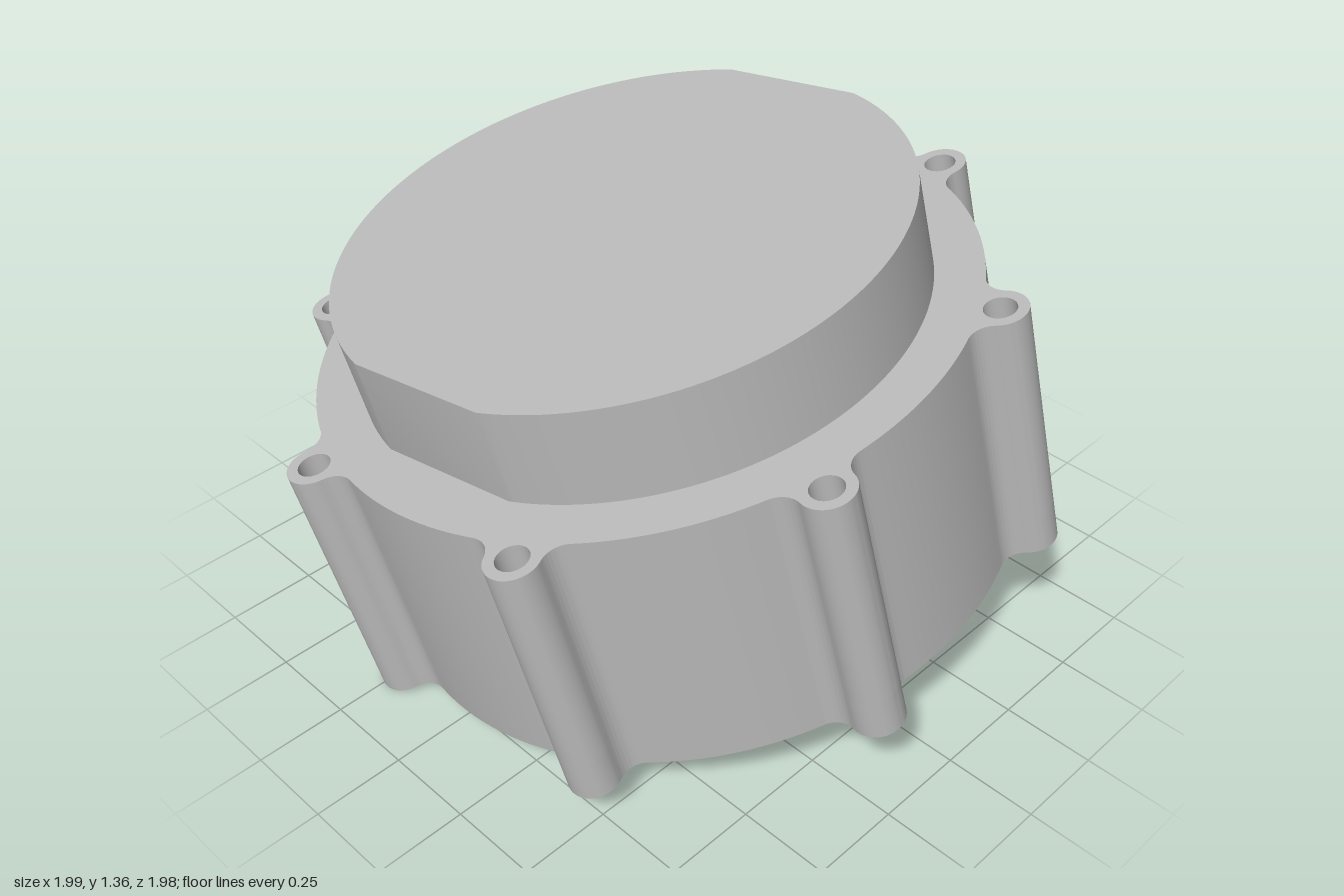
import * as THREE from 'three';
import { toCreasedNormals } from 'three/addons/utils/BufferGeometryUtils.js';

const RAD = Math.PI / 180;
const BODY_R = 0.875, LUG_DIST = 0.922, LUG_R = 0.07, FILLET = 0.06;
const HEIGHT = 0.744, PLATE = 0.12, BOSS = 0.045, BUMP = 265.5 * RAD;
const lugAngles = Array.from({ length: 8 }, (_, i) => (18 + 45 * i) * RAD);
const polar = (r, a) => new THREE.Vector2(r * Math.cos(a), r * Math.sin(a));

const circle = (Type, r, c = new THREE.Vector2()) => new Type().absarc(c.x, c.y, r, 0, Math.PI * 2, false);

// Housing outline: round body, filleted screw lugs and one wide bump
function housingShape() {
  const s = new THREE.Shape();
  const fd = BODY_R + FILLET, ld = LUG_R + FILLET;
  const delta = Math.acos((fd * fd + LUG_DIST * LUG_DIST - ld * ld) / (2 * fd * LUG_DIST));
  lugAngles.forEach((t, i) => {
    const lug = polar(LUG_DIST, t), a = polar(fd, t - delta), b = polar(fd, t + delta);
    const toA = Math.atan2(a.y - lug.y, a.x - lug.x), toB = Math.atan2(b.y - lug.y, b.x - lug.x);
    s.absarc(a.x, a.y, FILLET, t - delta + Math.PI, toA + Math.PI, true);
    s.absarc(lug.x, lug.y, LUG_R, toA, toB, false);
    s.absarc(b.x, b.y, FILLET, toB + Math.PI, t + delta + Math.PI, true);
    if (i === 5) {
      // bump between two lugs, with rounded shoulders
      for (let k = -26; k <= 26; k++) {
        const off = k * 0.5;
        const w = THREE.MathUtils.smoothstep(13 - Math.abs(off), 0, 5);
        const p = polar(BODY_R + 0.067 * w, BUMP + off * RAD);
        s.lineTo(p.x, p.y);
      }
    } else {
      s.absarc(0, 0, BODY_R, t + delta, t + 45 * RAD - delta, false);
    }
  });
  s.holes = lugAngles.map((t) => circle(THREE.Path, 0.042, polar(LUG_DIST, t)));
  return s;
}

// Ring of nine round holes and three curved slots
function boltPattern() {
  return Array.from({ length: 12 }, (_, i) => {
    const a = BUMP + i * 30 * RAD;
    if (i % 4) return circle(THREE.Path, 0.036, polar(0.28, a));
    const w = 10 * RAD;
    return new THREE.Path()
      .absarc(0, 0, 0.31, a - w, a + w, false)
      .absarc(0, 0, 0.25, a + w, a - w, true)
      .closePath();
  });
}

// Extrudes a plan shape upward from y0 to y1
function slab(name, shape, y0, y1, material, segments) {
  let g = new THREE.ExtrudeGeometry(shape, { depth: y1 - y0, bevelEnabled: false, curveSegments: segments });
  g.rotateX(Math.PI / 2).translate(0, y1, 0);
  g = toCreasedNormals(g, 35 * RAD);
  const m = new THREE.Mesh(g, material);
  m.name = name;
  return m;
}

export function createModel() {
  const metal = new THREE.MeshStandardMaterial({ color: 0xbcbcbc });
  metal.name = 'light grey metal';
  const housing = new THREE.Group();
  housing.name = 'tiltedHousing';

  // Main body, with a thinner lower plate that takes the blind holes
  const lower = housingShape();
  lower.holes.push(...boltPattern());
  housing.add(slab('lowerBody', lower, 0, PLATE, metal, 12));
  housing.add(slab('upperBody', housingShape(), PLATE, HEIGHT, metal, 12));

  // Top cap with two opposite flats
  const capR = 0.748, turn = -4.5 * RAD, half = Math.acos(0.718 / capR);
  const cap = new THREE.Shape();
  for (const a of [turn, turn + Math.PI]) cap.absarc(0, 0, capR, a + half, a + Math.PI - half, false);
  cap.closePath();
  housing.add(slab('topCap', cap, HEIGHT, HEIGHT + 0.265, metal, 48));

  // Raised ring underneath
  const ring = circle(THREE.Shape, 0.66);
  ring.holes.push(circle(THREE.Path, 0.56));
  housing.add(slab('bottomRing', ring, -BOSS, 0, metal, 72));

  // Raised flange inside the ring, with centre bore and hole pattern
  const flange = circle(THREE.Shape, 0.45);
  flange.holes.push(circle(THREE.Path, 0.19), ...boltPattern());
  housing.add(slab('bottomFlange', flange, -BOSS, 0, metal, 48));

  // The whole housing leans to the back right
  const axis = new THREE.Vector3(-0.18, 0.975, -0.129).normalize();
  housing.quaternion.setFromUnitVectors(new THREE.Vector3(0, 1, 0), axis);
  housing.position.set(0.067, 0.213, 0.048);

  const model = new THREE.Group();
  model.name = 'motorHousing';
  model.add(housing);
  return model;
}
